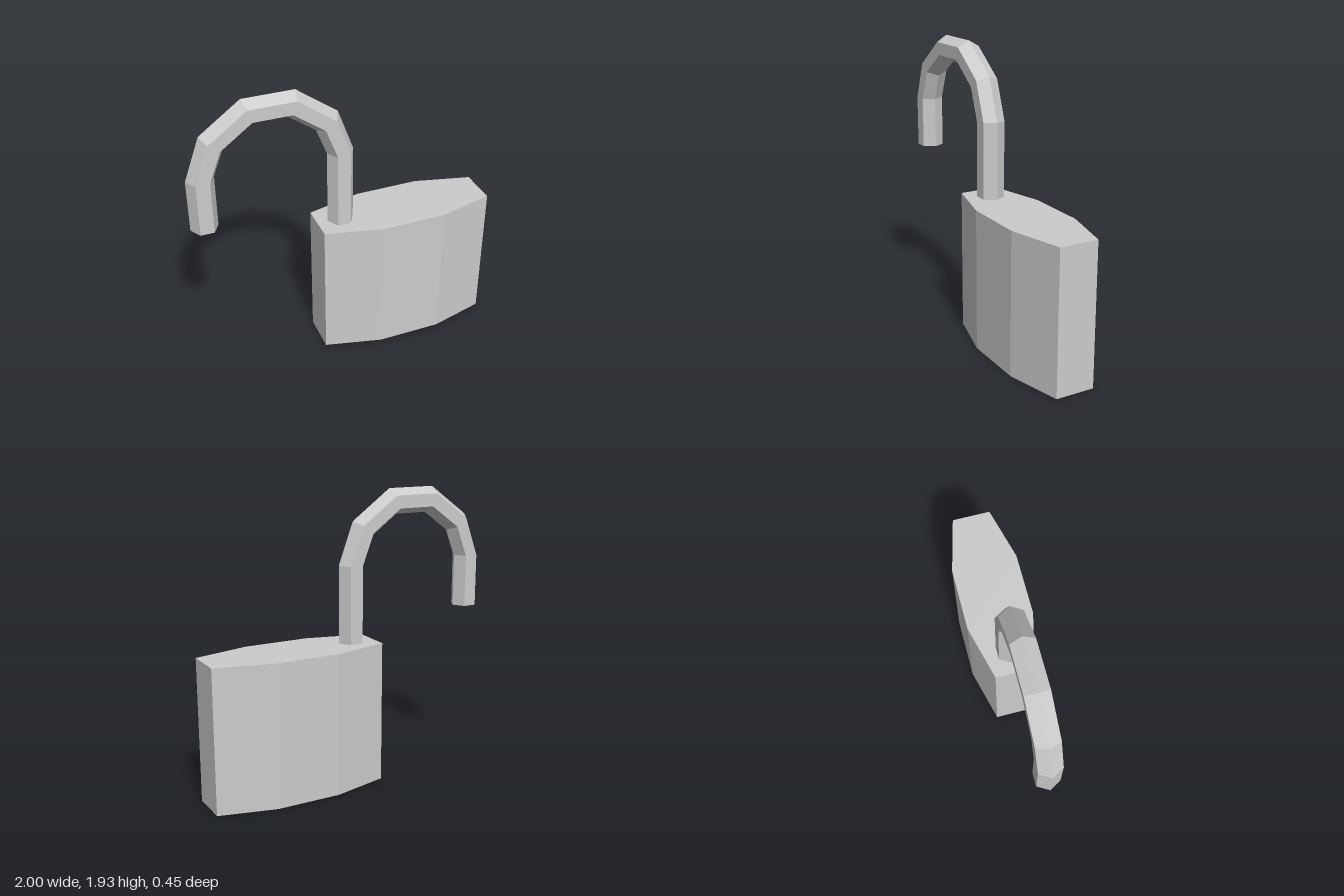
import * as THREE from 'three';

const SIDES = 6;

// Hexagonal bar swept through cross-sections given by centre (x, y) and outward direction (dx, dy)
function hexBar(sections, radius) {
  const positions = [];
  const index = [];
  for (const { x, y, dx, dy } of sections) {
    for (let k = 0; k < SIDES; k++) {
      const a = (k / SIDES) * Math.PI * 2;
      const r = radius * Math.cos(a);
      positions.push(x + dx * r, y + dy * r, radius * Math.sin(a));
    }
  }
  for (let i = 0; i < sections.length - 1; i++) {
    for (let k = 0; k < SIDES; k++) {
      const a = i * SIDES + k;
      const b = i * SIDES + ((k + 1) % SIDES);
      index.push(a, b, b + SIDES, a, b + SIDES, a + SIDES);
    }
  }
  // End caps
  const last = (sections.length - 1) * SIDES;
  for (let k = 1; k < SIDES - 1; k++) {
    index.push(0, k + 1, k);
    index.push(last, last + k, last + k + 1);
  }
  const geometry = new THREE.BufferGeometry();
  geometry.setAttribute('position', new THREE.Float32BufferAttribute(positions, 3));
  geometry.setIndex(index);
  const flat = geometry.toNonIndexed();
  flat.computeVertexNormals();
  return flat;
}

export function createModel() {
  const group = new THREE.Group();
  group.name = 'openPadlock';
  const material = new THREE.MeshStandardMaterial({ color: 0xcccccc, flatShading: true });

  // Body: bevelled eight-sided outline extruded upwards
  const bodyHeight = 0.945;
  const half = [[-0.178, 0.13], [0.197, 0.224], [0.628, 0.224], [1, 0.13]];
  const outline = [
    ...half.map(([x, z]) => new THREE.Vector2(x, -z)),
    ...half.slice().reverse().map(([x, z]) => new THREE.Vector2(x, z)),
  ];
  const bodyGeometry = new THREE.ExtrudeGeometry(new THREE.Shape(outline), {
    depth: bodyHeight,
    bevelEnabled: false,
  });
  bodyGeometry.rotateX(-Math.PI / 2);
  const body = new THREE.Mesh(bodyGeometry, material);
  body.name = 'body';
  group.add(body);

  // Shackle: short free leg, five-segment arch, long leg seated in the body
  const cx = -0.465;
  const cy = 1.417;
  const archRadius = 0.447;
  const legTop = 1.452;
  const leg = (side, y) => ({ x: cx + side * archRadius, y, dx: side, dy: 0 });
  const sections = [leg(-1, 1.105), leg(-1, legTop)];
  for (let i = 4; i >= 1; i--) {
    const a = (i * Math.PI) / 5;
    const dx = Math.cos(a);
    const dy = Math.sin(a);
    sections.push({ x: cx + dx * archRadius, y: cy + dy * archRadius, dx, dy });
  }
  sections.push(leg(1, legTop), leg(1, bodyHeight - 0.01));
  const shackle = new THREE.Mesh(hexBar(sections, 0.088), material);
  shackle.name = 'shackle';
  group.add(shackle);

  return group;
}
